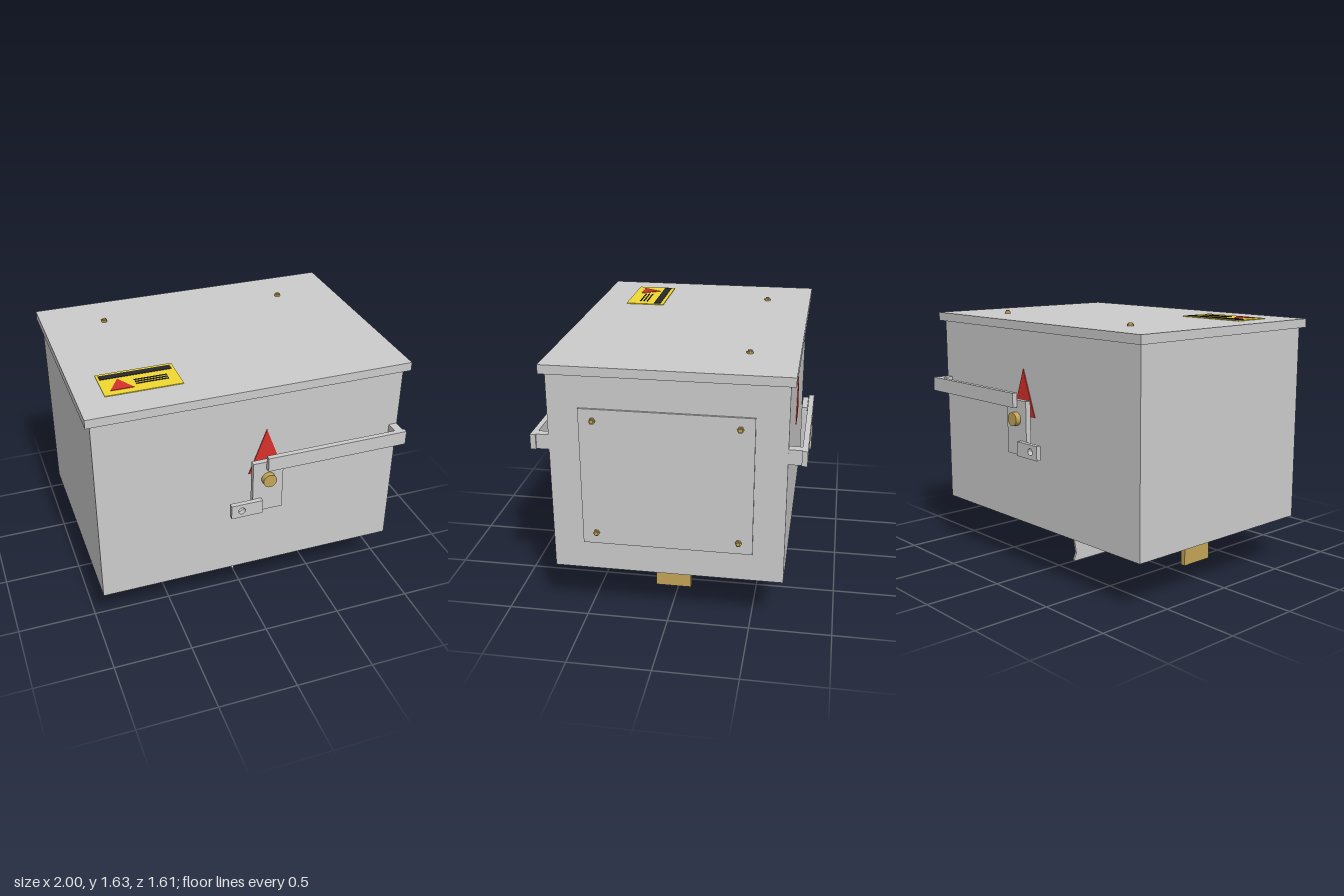
import * as THREE from 'three';

const mat = (color) => new THREE.MeshStandardMaterial({ color });

export function createModel() {
  const model = new THREE.Group();
  const grey = mat(0xcccccc), brass = mat(0xc4a658), red = mat(0xd8302a);
  const yellow = mat(0xf0d830), black = mat(0x26262c);

  const add = (parent, name, geometry, material) => {
    const mesh = new THREE.Mesh(geometry, material);
    mesh.name = name;
    parent.add(mesh);
    return mesh;
  };
  // Box given by its limits on each axis
  const box = (parent, name, material, [x0, x1], [y0, y1], [z0, z1]) => {
    const mesh = add(parent, name, new THREE.BoxGeometry(Math.abs(x1 - x0), Math.abs(y1 - y0), Math.abs(z1 - z0)), material);
    mesh.position.set((x0 + x1) / 2, (y0 + y1) / 2, (z0 + z1) / 2);
    return mesh;
  };
  const polygon = (pts) => new THREE.Shape(pts.map(([x, y]) => new THREE.Vector2(x, y)));
  const extrude = (shape, depth) =>
    new THREE.ExtrudeGeometry(shape, { depth, bevelEnabled: false, curveSegments: 12 }).translate(0, 0, -depth / 2);

  // Small hexagonal bolt with a round stud, pointing up
  const bolt = (name) => {
    const g = new THREE.Group();
    g.name = name;
    add(g, 'boltHead', new THREE.CylinderGeometry(0.02, 0.02, 0.012, 6), brass).position.y = 0.006;
    add(g, 'boltStud', new THREE.CylinderGeometry(0.012, 0.012, 0.02, 16), brass).position.y = 0.01;
    model.add(g);
    return g;
  };

  // Cabinet and lid
  box(model, 'cabinet', grey, [-0.97, 0.965], [0.315, 1.565], [-0.695, 0.695]);
  box(model, 'lid', grey, [-1, 1], [1.56, 1.615], [-0.725, 0.725]);
  for (const x of [-0.607, 0.607]) bolt('lidBolt').position.set(x, 1.615, -0.432);

  // Side access panel with four bolts
  box(model, 'accessPanel', grey, [0.96, 0.978], [0.495, 1.357], [-0.508, 0.51]);
  for (const y of [0.567, 1.286]) for (const z of [-0.425, 0.427]) {
    const b = bolt('panelBolt');
    b.position.set(0.978, y, z);
    b.rotation.z = -Math.PI / 2;
  }

  // Warning label on the lid
  const label = new THREE.Group();
  label.name = 'warningLabel';
  model.add(label);
  box(label, 'labelPlate', yellow, [-0.835, -0.367], [1.612, 1.62], [0.262, 0.517]);
  box(label, 'labelBar', black, [-0.82, -0.385], [1.616, 1.623], [0.285, 0.33]);
  for (const z of [0.387, 0.41, 0.433])
    box(label, 'labelLine', black, [-0.63, -0.432], [1.616, 1.623], [z - 0.004, z + 0.004]);
  const sign = add(label, 'labelTriangle', extrude(polygon([[-0.07, -0.06], [0.07, -0.06], [0, 0.063]]), 0.006), red);
  sign.rotation.x = -Math.PI / 2;
  sign.position.set(-0.72, 1.62, 0.41);

  // Switch mechanism, mirrored on front and back
  const tabShape = polygon([[-0.17, 0.785], [0.03, 0.785], [0.03, 0.877], [-0.17, 0.877]]);
  tabShape.holes.push(new THREE.Path().absarc(-0.103, 0.831, 0.022, 0, Math.PI * 2, true));
  for (const s of [1, -1]) {
    const g = new THREE.Group();
    g.name = s > 0 ? 'frontSwitch' : 'backSwitch';
    model.add(g);
    add(g, 'pointer', extrude(polygon([[-0.025, 1.02], [0.195, 1.02], [0.085, 1.315]]), 0.008), red).position.z = s * 0.697;
    box(g, 'pivotPlate', grey, [-0.022, 0.172], [0.78, 1.13], [s * 0.73, s * 0.765]);
    add(g, 'lockTab', extrude(tabShape, 0.03), grey).position.z = s * 0.785;
    const knob = add(g, 'pivotKnob', new THREE.CylinderGeometry(0.043, 0.043, 0.037, 32), brass);
    knob.rotation.x = Math.PI / 2;
    knob.position.set(0.075, 1.01, s * 0.782);
    box(g, 'handleBar', grey, [0.06, 0.975], [1.085, 1.177], [s * 0.77, s * 0.803]);
    box(g, 'handleStandoff', grey, [0.91, 0.963], [1.085, 1.177], [s * 0.69, s * 0.771]);
  }

  // Bottom feet and T-shaped contacts
  for (const s of [-1, 1]) {
    for (const t of [-1, 1])
      box(model, 'foot', brass, [s * 0.67, s * 0.775], [0.28, 0.317], [t * 0.41, t * 0.587]);
    box(model, 'contactFlange', brass, [s * 0.682, s * 0.813], [0.276, 0.307], [-0.11, 0.11]);
    box(model, 'contactBlade', brass, [s * 0.735, s * 0.766], [0.107, 0.278], [-0.11, 0.11]);
  }

  // Central divider with waisted ends
  const half = [[0.375, 0.32], [0.373, 0.15], [0.357, 0.05], [0.375, 0.012], [0.373, 0]];
  const outline = [...half, ...half.map(([z, y]) => [-z, y]).reverse()];
  add(model, 'centerDivider', extrude(polygon(outline), 0.014), grey).rotation.y = Math.PI / 2;

  return model;
}
